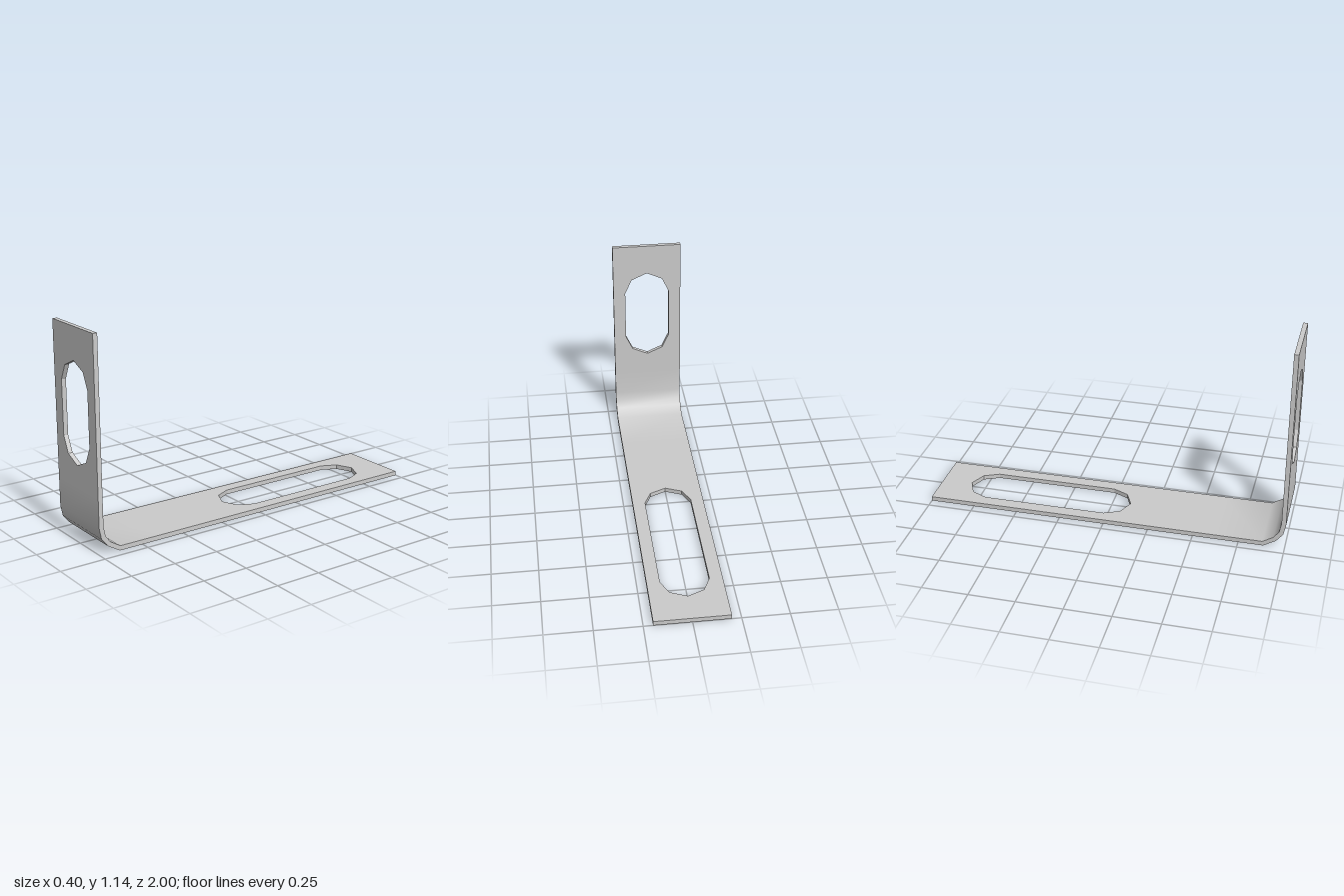
import * as THREE from 'three';
import { toCreasedNormals } from 'three/addons/utils/BufferGeometryUtils.js';

const HALF = 0.2;        // half width of the strip
const T = 0.025;         // sheet thickness
const WALL_START = 0.3;  // height where the upright plate meets the bend
const FLOOR_START = 0.6; // z where the base plate meets the bend

const material = new THREE.MeshStandardMaterial({ color: 0xcccccc });

// Ten-sided slot, running from v0 to v1 along the strip
function slotPath(v0, v1) {
  const right = [[0.09, v0 + 0.04], [0.13, v0 + 0.125], [0.13, v1 - 0.125], [0.09, v1 - 0.04]];
  const left = right.map(([x, v]) => [-x, v]).reverse();
  const points = [[0, v0], ...right, [0, v1], ...left];
  return new THREE.Path(points.map(([x, v]) => new THREE.Vector2(x, v)));
}

// Flat plate with one slot
function slottedPlate(start, end, slotStart, slotEnd) {
  const shape = new THREE.Shape([
    new THREE.Vector2(-HALF, start), new THREE.Vector2(HALF, start),
    new THREE.Vector2(HALF, end), new THREE.Vector2(-HALF, end),
  ]);
  shape.holes.push(slotPath(slotStart, slotEnd));
  return new THREE.ExtrudeGeometry(shape, { depth: T, bevelEnabled: false });
}

// Curved corner: a (z, y) section swept across the width
function bendGeometry() {
  const outer = [[FLOOR_START, 0], [0.885, 0], [0.952, 0.04], [0.988, 0.085], [1, 0.145], [1, WALL_START]];
  const inner = [[1 - T, WALL_START], [1 - T, 0.15], [0.965, 0.097], [0.937, 0.06], [0.88, T], [FLOOR_START, T]];
  const shape = new THREE.Shape([...outer, ...inner].map(([z, y]) => new THREE.Vector2(z, y)));
  const geometry = new THREE.ExtrudeGeometry(shape, { depth: HALF * 2, bevelEnabled: false });
  geometry.rotateY(-Math.PI / 2).translate(HALF, 0, 0);
  return toCreasedNormals(geometry, 0.8);
}

export function createModel() {
  const group = new THREE.Group();
  group.name = 'angleBracket';
  const add = (name, geometry) => {
    const mesh = new THREE.Mesh(geometry, material);
    mesh.name = name;
    group.add(mesh);
  };

  // Upright plate at the front
  add('uprightPlate', slottedPlate(WALL_START, 1.14, 0.42, 0.965).translate(0, 0, 1 - T));
  // Base plate, laid flat and running to the back
  add('basePlate', slottedPlate(-FLOOR_START, 1, -0.11, 0.83).rotateX(-Math.PI / 2));
  // Rounded corner joining the two
  add('bend', bendGeometry());

  return group;
}
